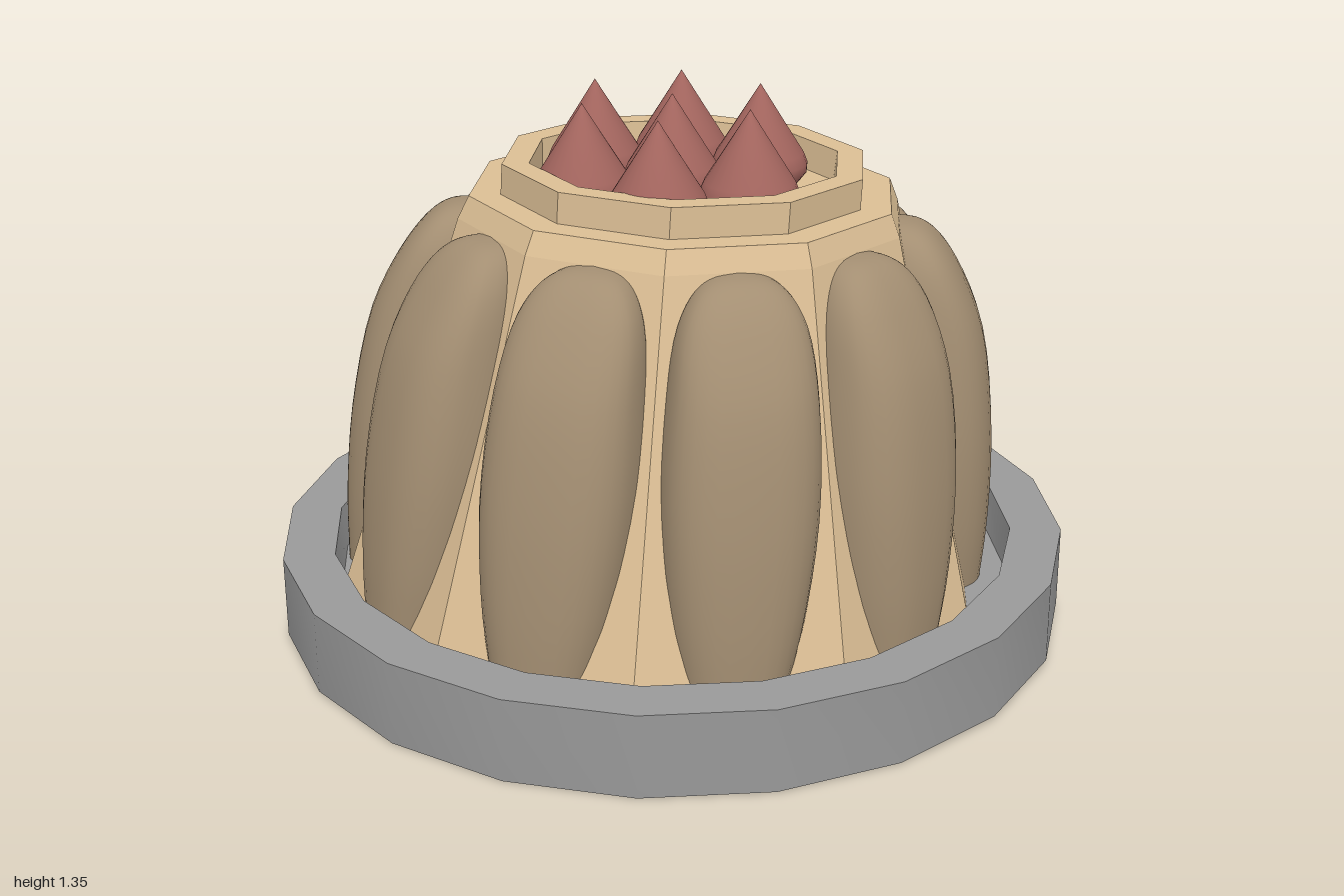
import * as THREE from 'three';
import { mergeVertices, toCreasedNormals } from 'three/addons/utils/BufferGeometryUtils.js';

const mat = (color, flatShading = false) => new THREE.MeshStandardMaterial({ color, flatShading });
const lathe = (points, sides) =>
  new THREE.LatheGeometry(points.map(([r, y]) => new THREE.Vector2(r, y)), sides);

// The cake leans slightly toward +x
const lean = new THREE.Matrix4().set(
  1, 0.065, 0, -0.039,
  -0.027, 1, 0, 0,
  0, 0, 1, 0,
  0, 0, 0, 1);

function part(parent, name, geometry, material) {
  const mesh = new THREE.Mesh(geometry, material);
  mesh.name = name;
  parent.add(mesh);
  return mesh;
}

// One bulging lobe: rounded cross-sections stacked along height, outer radius and half width
function lobeGeometry() {
  const stations = [
    [0.1, 0.82, 0.13], [0.3, 0.825, 0.165], [0.55, 0.81, 0.184], [0.8, 0.762, 0.172],
    [0.95, 0.69, 0.148], [1.02, 0.635, 0.11], [1.05, 0.59, 0.065], [1.06, 0.53, 0],
  ].map((s) => new THREE.Vector3(...s));
  const rings = new THREE.CatmullRomCurve3(stations).getPoints(26);
  const sides = 32;
  const g = lathe(rings.map((p, i) => [1, i]), sides);
  const pos = g.attributes.position;
  const round = (v) => Math.sign(v) * Math.pow(Math.abs(v), 0.78);
  for (let i = 0; i < pos.count; i++) {
    const { x: y, y: outer, z: width } = rings[Math.round(pos.getY(i))];
    const inner = 0.5;
    pos.setXYZ(i,
      Math.max(width, 0) * round(pos.getX(i)),
      y,
      (outer + inner) / 2 + ((outer - inner) / 2) * round(pos.getZ(i)));
  }
  g.deleteAttribute('uv');
  g.deleteAttribute('normal');
  const merged = mergeVertices(g, 1e-4);
  merged.computeVertexNormals();
  return merged;
}

export function createModel() {
  const model = new THREE.Group();
  model.name = 'cakeOnPlate';

  // Shallow plate with a raised rim, resting a little askew
  const plate = part(model, 'plate', toCreasedNormals(lathe([
    [0, 0], [1, 0], [1, 0.21], [0.87, 0.21], [0.86, 0.1], [0, 0.1],
  ], 20), 0.6), mat(0x999999));
  plate.rotation.set(0.0125, 0, 0.0125);
  plate.position.y = 0.018;

  const cake = new THREE.Group();
  cake.name = 'cake';
  model.add(cake);

  // Ten-sided tapering body
  const dough = mat(0xdcbf95, true);
  part(cake, 'body', lathe([
    [0, 0.09], [0.83, 0.09], [0.56, 1.06], [0.535, 1.115], [0, 1.115],
  ], 10).applyMatrix4(lean), dough);

  // Open collar around the top
  part(cake, 'collar', lathe([
    [0.457, 1.1], [0.457, 1.19], [0.39, 1.19], [0.385, 1.1],
  ], 10).applyMatrix4(lean), dough);

  // Lobes, one on each face of the body
  const lobe = lobeGeometry();
  const crust = mat(0xa38e72);
  for (let i = 0; i < 10; i++) {
    const g = lobe.clone().rotateY(((i + 0.5) * Math.PI) / 5);
    if (i === 2) g.scale(1, 0.98, 1);
    part(cake, 'lobe' + (i + 1), g.applyMatrix4(lean), crust);
  }

  // Pointed drops filling the collar
  const drop = toCreasedNormals(lathe([
    [0, 0], [0.07, 0], [0.1, 0.015], [0.119, 0.04], [0.12, 0.06], [0.11, 0.085],
    [0.055, 0.172], [0, 0.26],
  ], 24), 0.9);
  const cream = mat(0xa3655e);
  const spots = [
    [0, 0], [-0.085, -0.23], [0.15, -0.2], [-0.235, -0.03],
    [0.24, 0.025], [-0.165, 0.205], [0.075, 0.23],
  ];
  spots.forEach(([x, z], i) => {
    part(cake, 'drop' + (i + 1), drop, cream).position.set(x, 1.095, z);
  });

  return model;
}
